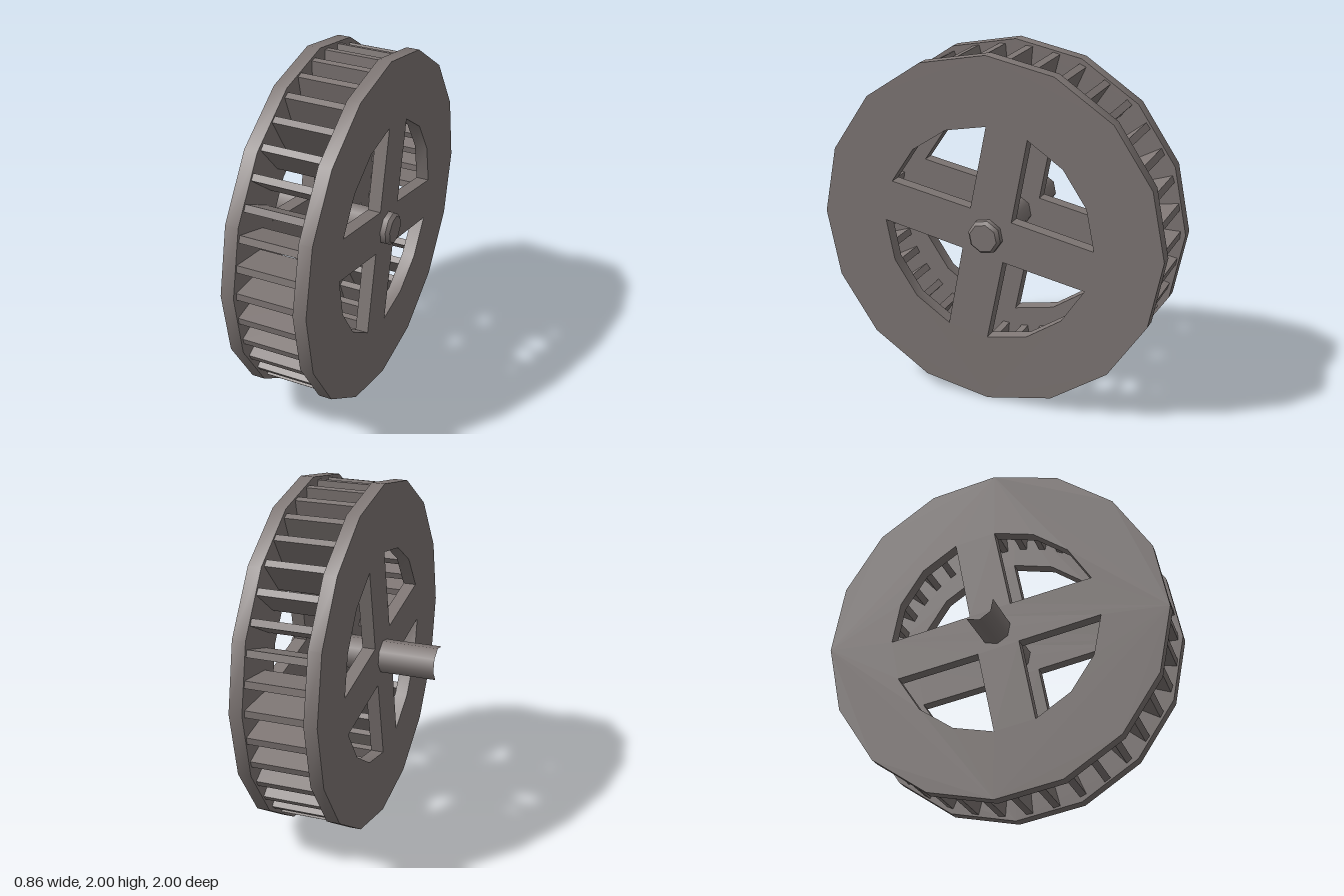
import * as THREE from 'three';
import { toCreasedNormals } from 'three/addons/utils/BufferGeometryUtils.js';

const metal = new THREE.MeshStandardMaterial({ color: 0x807876 });
metal.name = 'warm grey metal';

const SIDES = 16, BLADES = 38, STEP = (Math.PI * 2) / SIDES;
const DISC_T = 0.075, GAP_L = -0.034, GAP_R = 0.304;

function polar(r, a) {
  return new THREE.Vector2(r * Math.cos(a), r * Math.sin(a));
}

function addMesh(parent, name, geometry) {
  const mesh = new THREE.Mesh(geometry, metal);
  mesh.name = name;
  parent.add(mesh);
  return mesh;
}

// Sixteen-sided disc with four cut-outs that leave a tilted cross of spokes
function discGeometry() {
  const rim = [];
  for (let i = 0; i < SIDES; i++) rim.push(polar(1, i * STEP));
  const shape = new THREE.Shape(rim);
  for (let q = 0; q < 4; q++) {
    const turn = (q * Math.PI) / 2;
    const hole = [new THREE.Vector2(-0.095, 0.145).rotateAround(new THREE.Vector2(), turn)];
    for (let i = 0; i < 4; i++) hole.push(polar(0.616, Math.PI / 2 + turn + i * STEP));
    shape.holes.push(new THREE.Path(hole));
  }
  const geo = new THREE.ExtrudeGeometry(shape, { depth: DISC_T, bevelEnabled: false });
  geo.rotateY(Math.PI / 2);
  return toCreasedNormals(geo, 0.5);
}

// Open eight-sided tube section along x, from x0 to x1
function tubeGeometry(r0, r1, x0, x1) {
  const geo = new THREE.CylinderGeometry(r1, r0, x1 - x0, 8, 1, true, -Math.PI / 16);
  geo.rotateZ(-Math.PI / 2);
  geo.translate((x0 + x1) / 2, 0, 0);
  return geo;
}

export function createModel() {
  const model = new THREE.Group();
  model.name = 'bladedWheel';
  const wheel = new THREE.Group();
  wheel.name = 'wheel';
  wheel.position.y = 1;
  model.add(wheel);

  // Side discs
  const disc = discGeometry();
  addMesh(wheel, 'rightDisc', disc).position.x = GAP_L - DISC_T;
  addMesh(wheel, 'leftDisc', disc).position.x = GAP_R;

  // Ring of radial blades between the discs
  const bladeGeo = new THREE.BoxGeometry(GAP_R - GAP_L, 0.04, 0.25);
  bladeGeo.translate((GAP_L + GAP_R) / 2, 0, 0.845);
  for (let i = 0; i < BLADES; i++) {
    addMesh(wheel, 'blade', bladeGeo).rotation.x = (i * Math.PI * 2) / BLADES;
  }

  // Axle, hollow at one end and closed by a chamfered cap at the other
  const axle = new THREE.Group();
  axle.name = 'axle';
  wheel.add(axle);
  addMesh(axle, 'axleShaft', tubeGeometry(0.097, 0.097, -0.433, 0.41));
  addMesh(axle, 'axleChamfer', tubeGeometry(0.097, 0.08, 0.41, 0.43));
  const cap = new THREE.CircleGeometry(0.08, 8, -Math.PI / 16);
  cap.rotateY(Math.PI / 2);
  cap.translate(0.43, 0, 0);
  addMesh(axle, 'axleCap', cap);

  return model;
}
